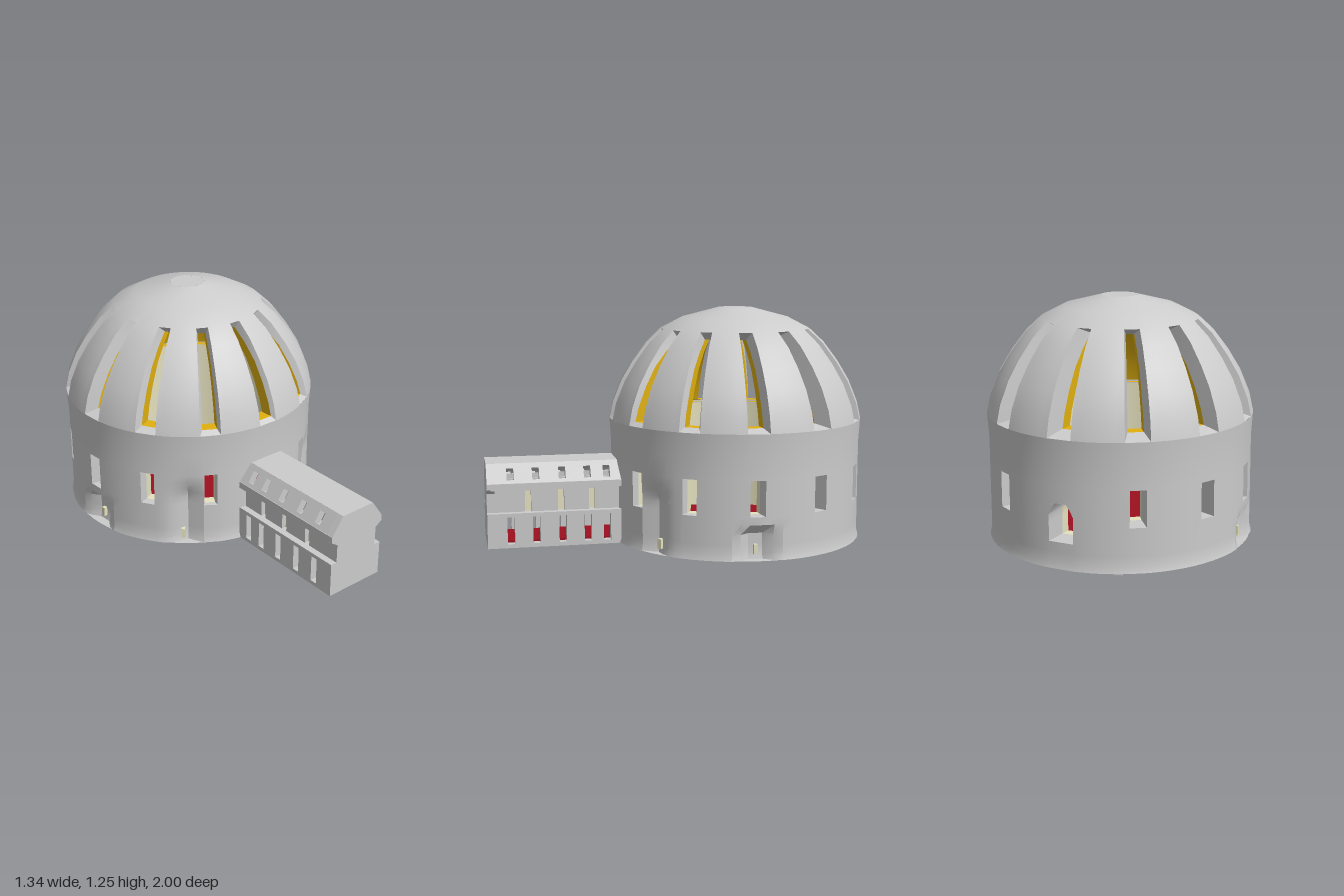
import * as THREE from 'three';
import { toCreasedNormals } from 'three/addons/utils/BufferGeometryUtils.js';

const mat = (color) => new THREE.MeshStandardMaterial({ color, side: THREE.DoubleSide });
const grey = mat(0xcccccc), yellow = mat(0xe0b010), cream = mat(0xe6e2c0), red = mat(0x9c0f1e);
const HALL_Z = -0.285;   // centre of the inner hall and of all window rays
const OUTER_Z = -0.33;   // centre of the outer wall, set slightly further back
const DEG = Math.PI / 180;

function add(parent, name, geometry, material, x = 0, y = 0, z = 0) {
  const mesh = new THREE.Mesh(geometry, material);
  mesh.name = name;
  mesh.position.set(x, y, z);
  parent.add(mesh);
  return mesh;
}

// Point on a ray from the hall centre: on a hall circle, or on the offset outer circle.
function ringPoint(theta, r, y, outer) {
  const e = OUTER_Z - HALL_Z;
  const t = outer ? e * Math.cos(theta) + Math.sqrt(r * r - (e * Math.sin(theta)) ** 2) : r;
  return [t * Math.sin(theta), y, HALL_Z + t * Math.cos(theta)];
}

// Thick round shell with one splayed opening in each of twelve sectors.
// rows: { y, r } for the three layers; halfWidth(k, row, layer); isHole(k, row).
function shell(group, name, rows, halfWidth, isHole, innerMat) {
  const skin = [], lining = [];
  const steps = [-1, -2 / 3, -1 / 3, -0, 0, 1 / 3, 2 / 3];
  const n = steps.length * 12;
  const point = (layer, j, i) => {
    const col = (i + n) % n, k = Math.floor(col / 7), s = steps[col % 7];
    const w = halfWidth(k, j, layer), side = col % 7 < 4 ? -1 : 1;
    const theta = k * 30 * DEG + side * (w + Math.abs(s) * (15 * DEG - w));
    const r = rows[j].r[layer] - (layer === 0 && rows[j].dent ? rows[j].dent(theta) : 0);
    return ringPoint(theta, r, rows[j].y[layer], layer === 0);
  };
  const quad = (out, a, b, c, d) => out.push(...a, ...b, ...c, ...a, ...c, ...d);
  const hole = (j, i) => i % 7 === 3 && isHole(Math.floor(i / 7), j);
  for (let j = 0; j < rows.length - 1; j++) for (let i = 0; i < n; i++) {
    const p = (l, dj, di) => point(l, j + dj, i + di);
    if (!hole(j, i)) {
      quad(skin, p(0, 0, 0), p(0, 0, 1), p(0, 1, 1), p(0, 1, 0));
      quad(lining, p(2, 0, 1), p(2, 0, 0), p(2, 1, 0), p(2, 1, 1));
      continue;
    }
    // Reveals: outer splay in the wall colour, inner part in the lining colour
    [[0, skin], [1, lining]].forEach(([l, out]) => {
      const m = l + 1;
      quad(out, p(l, 0, 0), p(m, 0, 0), p(m, 1, 0), p(l, 1, 0));
      quad(out, p(m, 0, 1), p(l, 0, 1), p(l, 1, 1), p(m, 1, 1));
      if (j === 0 || !hole(j - 1, i)) quad(out, p(l, 0, 0), p(l, 0, 1), p(m, 0, 1), p(m, 0, 0));
      if (!hole(j + 1, i)) quad(out, p(m, 1, 0), p(m, 1, 1), p(l, 1, 1), p(l, 1, 0));
    });
  }
  [[skin, grey, 'Wall'], [lining, innerMat, 'Lining']].forEach(([data, material, suffix]) => {
    const g = new THREE.BufferGeometry();
    g.setAttribute('position', new THREE.Float32BufferAttribute(data, 3));
    add(group, name + suffix, toCreasedNormals(g, 0.4), material);
  });
}

function buildDrum(group) {
  // Shallow niches at the foot of the wall
  const dentAt = (y) => (theta) => {
    let a = Math.abs(theta / DEG);
    if (a > 180) a = 360 - a;
    const sideNiche = y < 0.21 ? 0.055 * Math.max(0, 1 - Math.max(0, Math.abs(a - 90) - 3) / 6) : 0;
    const frontNiche = 0.05 * Math.max(0, 1 - Math.abs(a - 41) / 9) * Math.min(1, Math.max(0, (0.42 - y) / 0.12));
    return sideNiche + frontNiche;
  };
  const ys = [0.04, 0.07, 0.12, 0.17, 0.22, 0.26, 0.30, 0.33, 0.36, 0.40, 0.44, 0.55, 0.67];
  const rows = ys.map((y) => ({
    y: [y, y, y], dent: dentAt(y),
    r: [y < 0.06 ? 0.67 : 0.662 + (y > 0.6 ? 0.008 : 0), 0.59, 0.54],
  }));
  const halfWidth = (k, j, layer) => {
    if (k === 0) return 0.16;                                     // passage to the corridor
    if (k === 6) return ys[j] > 0.35 ? 0.04 : ys[j] > 0.32 ? 0.07 : 0.09; // arched rear opening
    return layer === 0 ? 0.058 : 0.047;
  };
  const isHole = (k, j) => {
    const y = ys[j] + 0.001;
    if (k === 0) return y > 0.07 && y < 0.44;
    if (k === 6) return y > 0.17 && y < 0.36;
    return y > 0.26 && y < 0.44;
  };
  shell(group, 'drum', rows, halfWidth, isHole, cream);
  add(group, 'drumBase', new THREE.RingGeometry(0.5, 0.665, 72).rotateX(Math.PI / 2), grey, 0, 0.04, OUTER_Z);
  add(group, 'hallFloor', new THREE.CylinderGeometry(0.55, 0.55, 0.03, 72), red, 0, 0.052, HALL_Z);
  // Narrow slits in the niches
  for (const s of [-1, 1]) for (const [x, z] of [[0.414, 0.15], [0.612, -0.285]]) {
    const slit = add(group, 'nicheSlit', new THREE.BoxGeometry(0.02, 0.05, 0.03), cream, s * x, 0.09, z);
    slit.rotation.y = Math.atan2(s * x, z - OUTER_Z);
  }
}

function buildDome(group) {
  // radius, outer height, lining height
  const profile = [[0.67, 0.67, 0.69], [0.65, 0.76, 0.76], [0.605, 0.87, 0.86], [0.545, 0.97, 0.96],
    [0.47, 1.07, 1.04], [0.395, 1.14, 1.1], [0.28, 1.2, 1.14], [0.09, 1.25, 1.17]];
  const rows = profile.map(([r, yo, yi]) => ({
    y: [yo, yi, yi], r: [r, Math.max(r - 0.07, 0), Math.max(r - 0.135, 0)],
  }));
  shell(group, 'dome', rows, (k, j, layer) => (layer === 0 ? 0.085 : 0.063), (k, j) => j < 5, yellow);
  add(group, 'domeCap', new THREE.CircleGeometry(0.09, 36).rotateX(-Math.PI / 2), grey, 0, 1.25, OUTER_Z);
  // Ledge where the dome springs from the drum
  add(group, 'innerLedge', new THREE.RingGeometry(0.515, 0.545, 72).rotateX(Math.PI / 2), yellow, 0, 0.68, HALL_Z);
}

// Upright panel along z with rectangular windows; its outer face lies at x = 0.
function panel(height, centres, low, high, half) {
  const rect = (P, a, b, c, d) => {
    const s = new P();
    s.moveTo(a, b); s.lineTo(c, b); s.lineTo(c, d); s.lineTo(a, d); s.closePath();
    return s;
  };
  const shape = rect(THREE.Shape, 0.27, 0, 0.98, height);
  for (const z of centres) shape.holes.push(rect(THREE.Path, z - half, low, z + half, high));
  return new THREE.ExtrudeGeometry(shape, { depth: 0.04, bevelEnabled: false }).rotateY(-Math.PI / 2);
}

function buildCorridor(group) {
  const bays = [0.88, 0.75, 0.615, 0.485, 0.385];
  for (const s of [1, -1]) {
    const side = new THREE.Group();
    side.name = s > 0 ? 'corridorLeftSide' : 'corridorRightSide';
    side.scale.x = s;
    add(side, 'lowerWall', panel(0.18, bays, 0.02, 0.16, 0.019), grey, 0.165, 0.04);
    add(side, 'middleWall', panel(0.14, [0.79, 0.62, 0.46], 0.01, 0.12, 0.016), grey, 0.13, 0.21);
    add(side, 'middleLining', new THREE.BoxGeometry(0.01, 0.13, 0.7), cream, 0.1, 0.28, 0.62);
    add(side, 'eaves', new THREE.BoxGeometry(0.07, 0.035, 0.71), grey, 0.133, 0.358, 0.625);
    add(side, 'roofSlope', panel(0.115, bays, 0.02, 0.085, 0.018), grey, 0.165, 0.375).rotation.z = 0.6;
    group.add(side);
  }
  add(group, 'roofTop', new THREE.BoxGeometry(0.2, 0.025, 0.71), grey, 0, 0.4575, 0.625);
  add(group, 'corridorBase', new THREE.BoxGeometry(0.33, 0.02, 0.71), grey, 0, 0.05, 0.625);
  add(group, 'corridorFloor', new THREE.BoxGeometry(0.25, 0.01, 0.76), red, 0, 0.065, 0.59);
  // Solid end wall with the corridor's cross-section
  const half = [[0.165, 0.04], [0.165, 0.22], [0.13, 0.22], [0.13, 0.32], [0.168, 0.345], [0.168, 0.375], [0.1, 0.47]];
  const outline = [...half, ...half.map(([x, y]) => [-x, y]).reverse()].map(([x, y]) => new THREE.Vector2(x, y));
  add(group, 'endWall', new THREE.ExtrudeGeometry(new THREE.Shape(outline), { depth: 0.04, bevelEnabled: false }), grey, 0, 0, 0.96);
}

export function createModel() {
  const model = new THREE.Group();
  model.name = 'domedHall';
  for (const [name, build] of [['drum', buildDrum], ['dome', buildDome], ['corridor', buildCorridor]]) {
    const group = new THREE.Group();
    group.name = name;
    build(group);
    model.add(group);
  }
  // Tapered slab under the rear of the hall
  const slab = new THREE.Shape([[-0.16, 0.58], [-0.26, 0.87], [0.26, 0.87], [0.16, 0.58]].map(([x, y]) => new THREE.Vector2(x, y)));
  add(model, 'rearSlab', new THREE.ExtrudeGeometry(slab, { depth: 0.045, bevelEnabled: false }).rotateX(-Math.PI / 2), grey);
  return model;
}
